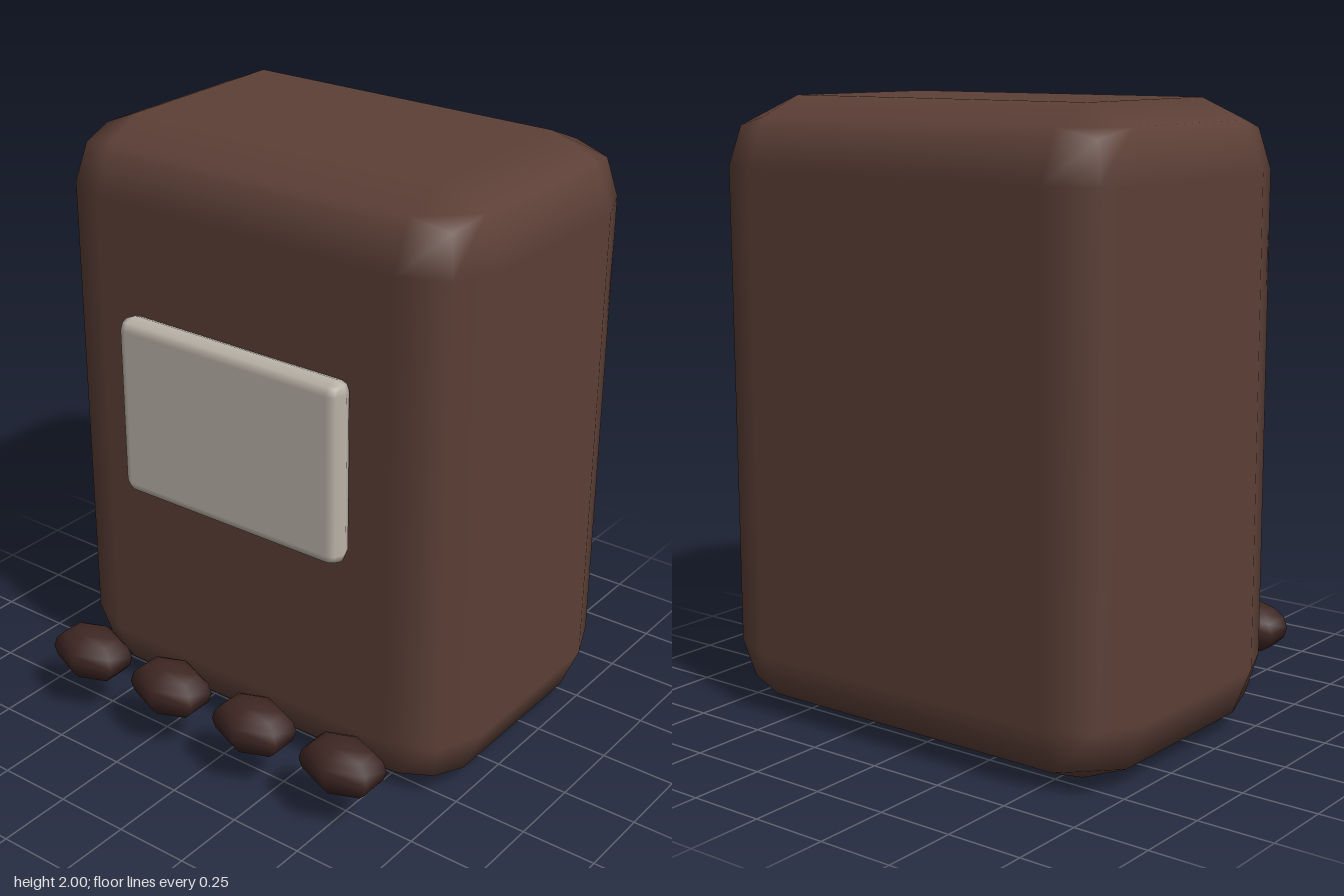
import * as THREE from 'three';
import { RoundedBoxGeometry } from 'three/addons/geometries/RoundedBoxGeometry.js';

const paint = (color) => new THREE.MeshStandardMaterial({ color });

function addMesh(parent, name, geometry, material, x, y, z) {
  const mesh = new THREE.Mesh(geometry, material);
  mesh.name = name;
  mesh.position.set(x, y, z);
  parent.add(mesh);
  return mesh;
}

export function createModel() {
  const model = new THREE.Group();
  model.name = 'blockFigure';

  // Large body with coarse rounded edges
  addMesh(model, 'body', new RoundedBoxGeometry(1.56, 2, 1.04, 1, 0.22),
    paint(0x5d4037), 0, 1, -0.14);

  // Pale plate on the front
  addMesh(model, 'frontPanel', new RoundedBoxGeometry(0.86, 0.605, 0.09, 1, 0.04),
    paint(0xbdb5aa), 0, 1.133, 0.423);

  // Row of four flattened six-sided toes, corners pointing to the front
  const toeGeometry = new THREE.SphereGeometry(1, 6, 8).rotateY(Math.PI / 6).scale(0.15, 0.09, 0.105);
  const toeMaterial = paint(0x3e2723);
  const toes = new THREE.Group();
  toes.name = 'toes';
  for (let i = 0; i < 4; i++) {
    addMesh(toes, 'toe' + (i + 1), toeGeometry, toeMaterial, (i - 1.5) * 0.35, 0.22, 0.555);
  }
  model.add(toes);
  return model;
}
